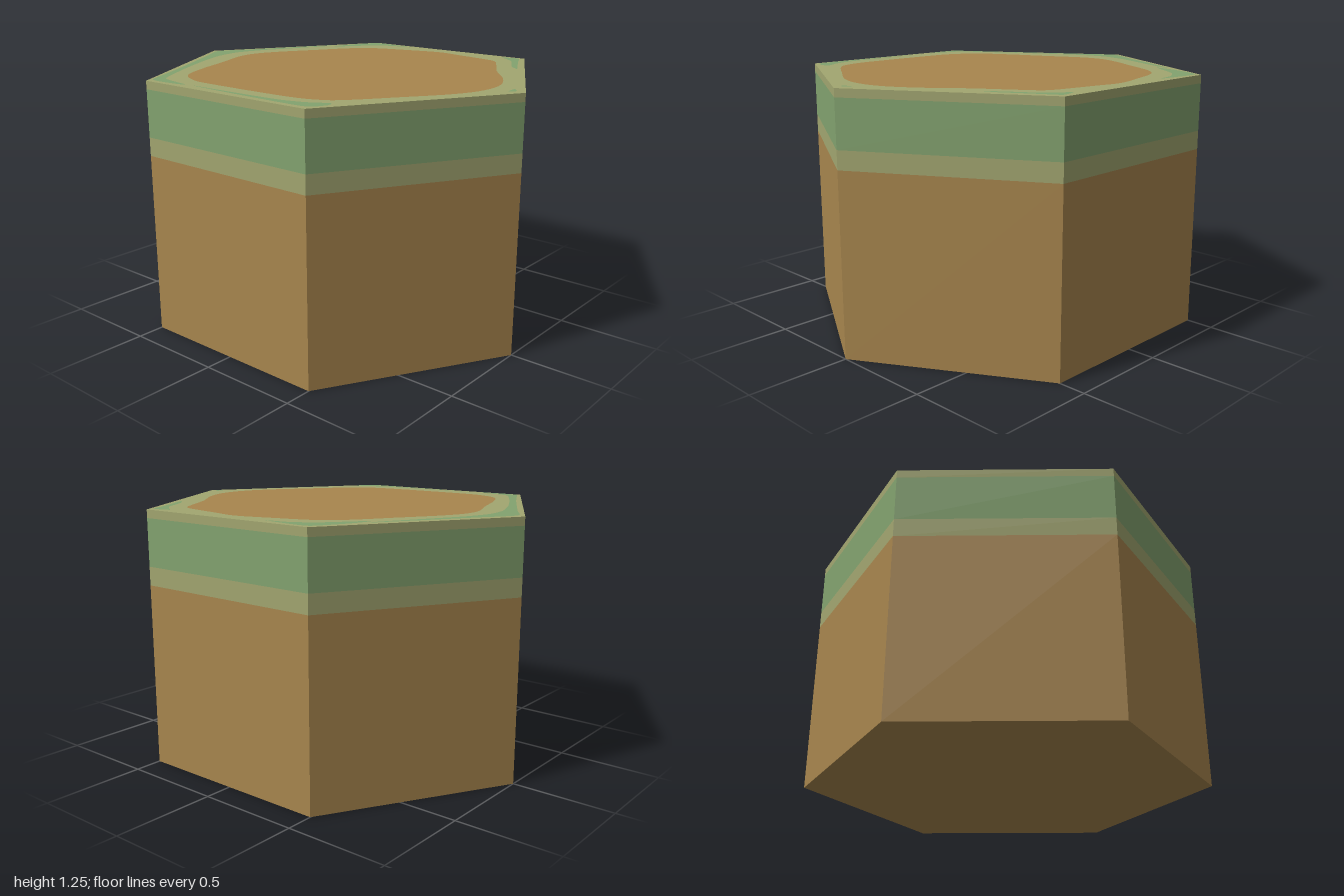
import * as THREE from 'three';

export function createModel() {
  const group = new THREE.Group();
  const material = (name, color) => {
    const m = new THREE.MeshStandardMaterial({ color });
    m.name = name;
    return m;
  };
  const earth = material('earth brown', 0xa8864e);
  const olive = material('olive', 0xa2a670);
  const green = material('grass green', 0x83a36f);
  const TOP = 1.25;

  const add = (name, geometry, mat) => {
    const mesh = new THREE.Mesh(geometry, mat);
    mesh.name = name;
    group.add(mesh);
    return mesh;
  };

  // Stacked hexagonal side bands, with corners on the x axis
  const band = (name, y0, y1, mat) => {
    const g = new THREE.CylinderGeometry(1, 1, y1 - y0, 6, 1, true, Math.PI / 6).toNonIndexed();
    g.computeVertexNormals();
    add(name, g, mat).position.y = (y0 + y1) / 2;
  };
  band('earthSides', 0, 0.89, earth);
  band('lowerOliveBand', 0.89, 0.98, olive);
  band('grassBand', 0.98, 1.21, green);
  band('upperOliveBand', 1.21, TOP, olive);

  // Underside
  const hexagon = () => new THREE.Shape(Array.from({ length: 6 }, (_, i) =>
    new THREE.Vector2(Math.cos(i * Math.PI / 3), Math.sin(i * Math.PI / 3))));
  add('underside', new THREE.ShapeGeometry(hexagon()).rotateX(Math.PI / 2), earth);

  // Smooth closed outline from [x, z] points
  const outline = (points, tension = 0.5) => {
    const curve = new THREE.CatmullRomCurve3(
      points.map(([x, z]) => new THREE.Vector3(x, -z, 0)), true, 'catmullrom', tension);
    return curve.getPoints(points.length * 4).slice(0, -1).map(p => new THREE.Vector2(p.x, p.y));
  };
  const flat = (name, shape, y, mat) =>
    add(name, new THREE.ShapeGeometry(shape).rotateX(-Math.PI / 2), mat).position.y = y;

  // Bare earth in the middle of the top, ringed by olive
  const bare = outline([
    [0.01, -0.775], [0.16, -0.75], [0.3, -0.725], [0.42, -0.69], [0.5, -0.58], [0.6, -0.42],
    [0.73, -0.26], [0.815, -0.1], [0.83, 0.06], [0.78, 0.22], [0.65, 0.42], [0.51, 0.62],
    [0.42, 0.69], [0.25, 0.725], [-0.2, 0.73], [-0.35, 0.71], [-0.48, 0.63], [-0.57, 0.46],
    [-0.65, 0.25], [-0.73, 0.06], [-0.74, -0.07], [-0.69, -0.21], [-0.58, -0.4],
    [-0.48, -0.57], [-0.37, -0.67], [-0.18, -0.73],
  ]);
  const rim = hexagon();
  rim.holes.push(new THREE.Path(bare));
  flat('topRim', rim, TOP, olive);
  flat('topEarth', new THREE.Shape(bare), TOP, earth);

  // Grass patches around the rim
  const patches = {
    leftGrass: [
      [-0.965, 0], [-0.86, -0.18], [-0.73, -0.41], [-0.61, -0.61], [-0.63, -0.54], [-0.72, -0.35],
      [-0.8, -0.18], [-0.84, -0.03], [-0.82, 0.12], [-0.74, 0.31], [-0.64, 0.5], [-0.54, 0.67],
      [-0.46, 0.78], [-0.27, 0.82], [-0.35, 0.84], [-0.49, 0.835], [-0.57, 0.7], [-0.65, 0.55],
      [-0.77, 0.34], [-0.88, 0.15],
    ],
    backLeftGrass: [
      [-0.49, -0.84], [-0.35, -0.84], [-0.22, -0.82], [-0.34, -0.8], [-0.44, -0.74],
      [-0.52, -0.64], [-0.59, -0.55], [-0.57, -0.67],
    ],
    backRightGrass: [
      [0.39, -0.82], [0.48, -0.84], [0.53, -0.75], [0.59, -0.64], [0.65, -0.53],
      [0.59, -0.58], [0.5, -0.73], [0.43, -0.79],
    ],
    frontGrass: [
      [-0.24, 0.815], [0.1, 0.81], [0.3, 0.8], [0.42, 0.77], [0.51, 0.72], [0.53, 0.76],
      [0.485, 0.835], [0.3, 0.84], [0, 0.83],
    ],
    rightGrass: [[0.92, -0.04], [0.955, 0], [0.93, 0.035]],
  };
  for (const [name, points] of Object.entries(patches)) {
    flat(name, new THREE.Shape(outline(points, 0.3)), TOP + 0.002, green);
  }
  return group;
}
